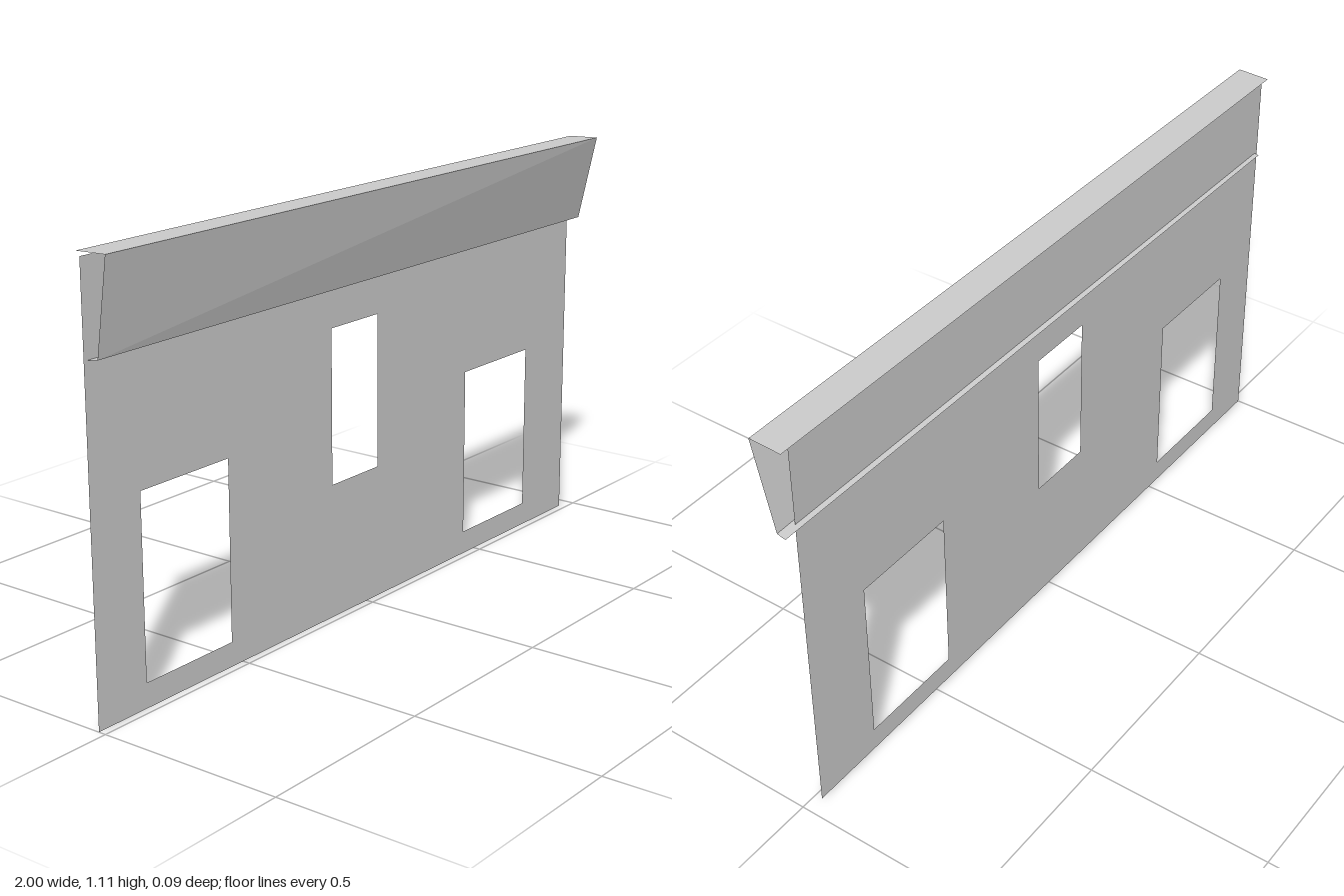
import * as THREE from 'three';

const material = new THREE.MeshStandardMaterial({
  color: 0xcccccc, side: THREE.DoubleSide, flatShading: true,
});

function rectangle(PathType, x0, x1, y0, y1) {
  return new PathType([[x0, y0], [x1, y0], [x1, y1], [x0, y1]]
    .map(([x, y]) => new THREE.Vector2(x, y)));
}

// Thin sheet spanned by four corners, counter-clockwise from its outer side
function sheet(name, corners) {
  const geometry = new THREE.BufferGeometry();
  geometry.setAttribute('position', new THREE.Float32BufferAttribute(corners.flat(), 3));
  geometry.setIndex([0, 1, 2, 0, 2, 3]);
  geometry.computeVertexNormals();
  const mesh = new THREE.Mesh(geometry, material);
  mesh.name = name;
  return mesh;
}

export function createModel() {
  const model = new THREE.Group();
  model.name = 'wallWithEave';

  // Flat wall with three window openings
  const outline = rectangle(THREE.Shape, -1, 0.953, 0, 1.1);
  const openings = [
    [-0.84, -0.54, 0.064, 0.533],
    [-0.143, 0.047, 0.36, 0.77],
    [0.446, 0.748, 0.064, 0.528],
  ];
  for (const o of openings) outline.holes.push(rectangle(THREE.Path, ...o));
  const wall = new THREE.Mesh(new THREE.ShapeGeometry(outline), material);
  wall.name = 'wall';
  wall.position.z = -0.02;
  model.add(wall);

  // Eave: a top sheet, a slightly twisted leaning fascia and a narrow lip below
  const left = 1, right = -0.988;
  const topFront = (x) => [x, 1.11, 0.044];
  const topBack = (x) => [x, 1.107, -0.044];
  const lowFront = (x) => [x, 0.874, x > 0 ? -0.01 : 0.01];
  const lowBack = (x) => [x, 0.868, -0.033];
  const strips = [
    ['eaveTop', topFront, topBack],
    ['fascia', lowFront, topFront],
    ['eaveLip', lowBack, lowFront],
  ];
  for (const [name, a, b] of strips) {
    model.add(sheet(name, [a(right), a(left), b(left), b(right)]));
  }
  return model;
}
